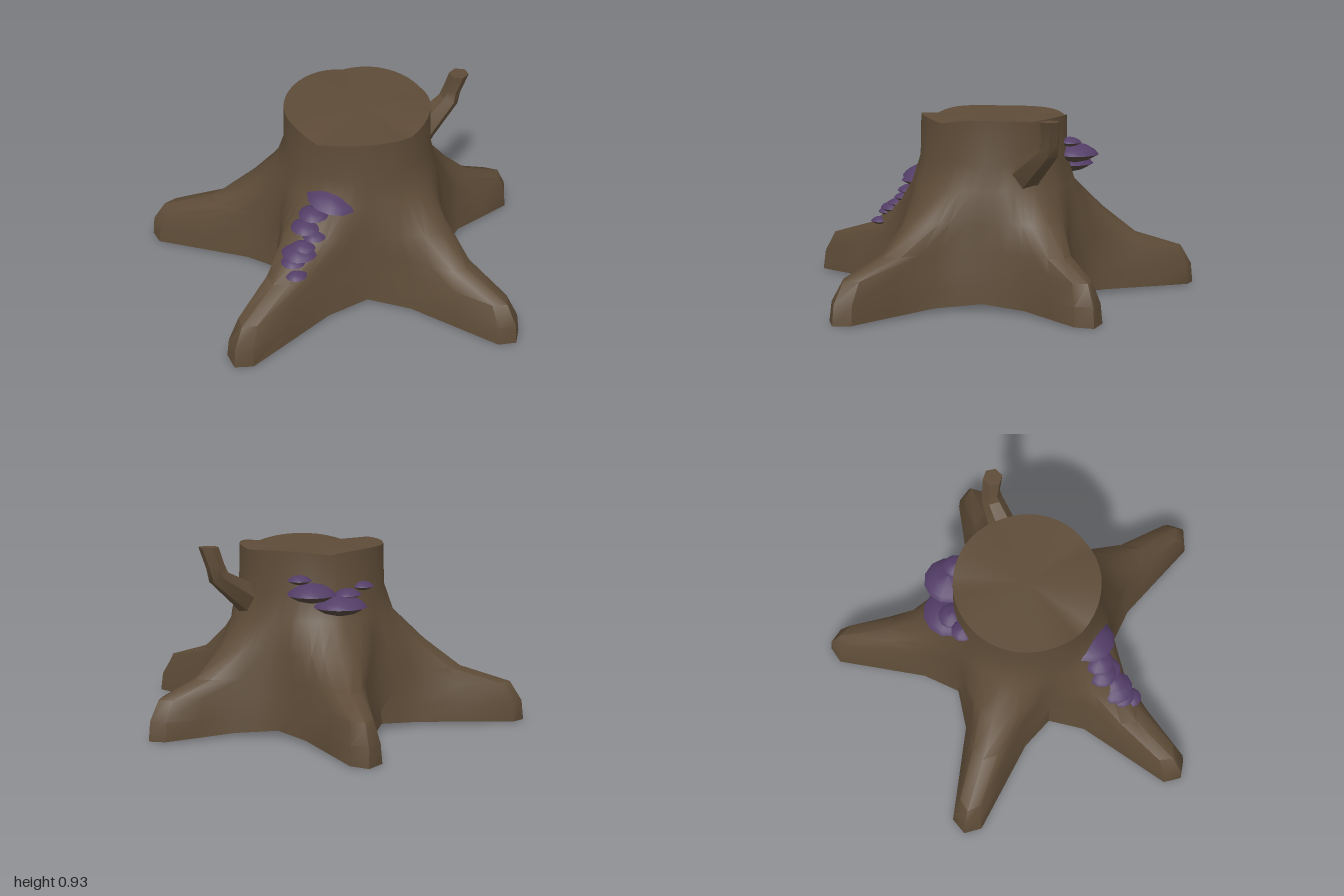
import * as THREE from 'three';
import { toCreasedNormals } from 'three/addons/utils/BufferGeometryUtils.js';

const V = (x, y, z) => new THREE.Vector3(x, y, z);
const CX = 0.11; // trunk axis

// Skin a stack of closed rings, listed from bottom to top
function loft(rings, crease) {
  const n = rings[0].length, index = [];
  for (let i = 0; i < rings.length - 1; i++) {
    for (let j = 0; j < n; j++) {
      const a = i * n + j, b = i * n + (j + 1) % n, d = a + n, c = b + n;
      index.push(a, d, b, b, d, c);
    }
  }
  const geo = new THREE.BufferGeometry().setFromPoints(rings.flat());
  geo.setIndex(index);
  return toCreasedNormals(geo, crease);
}

// Close the last ring with a fan
function fan(ring, centre) {
  const index = ring.map((_, j) => [0, 1 + (j + 1) % ring.length, 1 + j]).flat();
  const geo = new THREE.BufferGeometry().setFromPoints([centre, ...ring]);
  geo.setIndex(index);
  geo.computeVertexNormals();
  return geo;
}

// Root direction (degrees, x towards z), reach from the trunk axis, dip of the rim above,
// and fullness of its two flanks
const roots = [
  [-108.5, 1.055, 0.02, 1, 1], [-37, 0.945, 0.012, 0.85, 0.82], [36.3, 1.08, 0.025, 0.78, 1.05],
  [115.3, 1.1, 0.035, 1.08, 0.86], [180, 1.09, 0.004, 0.96, 0.96],
];

// Height, ridge reach, nose half width, valley radius, flank reach, flank half width, roundness
const levels = [
  [0.00, 1.07, 0.078, 0.455, 0.55, 0.172, 0],
  [0.10, 1.06, 0.072, 0.45, 0.54, 0.162, 0],
  [0.20, 1.00, 0.055, 0.445, 0.53, 0.145, 0],
  [0.28, 0.75, 0.065, 0.435, 0.50, 0.148, 0],
  [0.42, 0.57, 0.080, 0.41, 0.445, 0.17, 0.1],
  [0.57, 0.415, 0.09, 0.385, 0.375, 0.165, 0.7],
  [0.70, 0.37, 0.09, 0.37, 0.36, 0.18, 1],
  [0.90, 0.365, 0.09, 0.365, 0.36, 0.18, 1],
];

// Horizontal outline of trunk and roots at one level
function contour([y, reach, nose, valley, flankA, flankW, round], row) {
  const ring = [];
  roots.forEach(([deg, len, dip, fullA, fullB], i) => {
    const th = THREE.MathUtils.degToRad(deg);
    const R = 0.365 + (reach - 0.365) * (len - 0.365) / 0.705;
    const gap = (k) => {
      const d = roots[(i + k + 5) % 5][0] - deg;
      return THREE.MathUtils.degToRad(((d * k + 720) % 360) / 2);
    };
    const add = (s, k) => {
      const half = gap(s);
      const v = [valley * Math.cos(half), valley * Math.sin(half)];
      const f = [flankA, flankW * (s < 0 ? fullA : fullB)];
      const n = [R - Math.min(0.05, R * 0.07), nose];
      const mix = (p, q, t) => [p[0] + (q[0] - p[0]) * t, p[1] + (q[1] - p[1]) * t];
      const pts = [v, mix(v, f, 0.5), f, mix(f, n, 0.5), n, [R, 0]];
      const ang = half * (1 - k / 5);
      const [a, w] = mix(pts[k], [R * Math.cos(ang), R * Math.sin(ang)], round);
      let h = y;
      if (row === 0) h = 0.03 * (1 - k / 5);
      if (row === levels.length - 1) h = 0.91 - dip * (k / 5) ** 2;
      ring.push(V(CX + Math.cos(th) * a - Math.sin(th) * s * w, h,
        Math.sin(th) * a + Math.cos(th) * s * w));
    };
    for (let k = 0; k <= 5; k++) add(-1, k);
    for (let k = 4; k >= 1; k--) add(1, k);
  });
  return ring;
}

export function createModel() {
  const bark = new THREE.MeshStandardMaterial({ color: 0x5d4b37, side: THREE.DoubleSide });
  bark.name = 'bark brown';
  const purple = new THREE.MeshStandardMaterial({ color: 0x533d67, side: THREE.DoubleSide });
  purple.name = 'fungus purple';
  const gill = new THREE.MeshStandardMaterial({ color: 0x52433a, side: THREE.DoubleSide });
  gill.name = 'gill brown';

  const model = new THREE.Group();
  model.name = 'treeStump';
  const add = (parent, name, geo, mat) => {
    const mesh = new THREE.Mesh(geo, mat);
    mesh.name = name;
    parent.add(mesh);
  };

  // Hollow trunk with five spreading roots, and its cut top
  const rings = levels.map(contour);
  add(model, 'trunkAndRoots', loft(rings, 0.8), bark);
  add(model, 'cutTop', fan(rings[rings.length - 1], V(CX, 0.912, 0)), bark);

  // Broken branch: hexagonal sections along a bent path
  const branch = new THREE.Group();
  branch.name = 'branch';
  const path = [
    [V(0.385, 0.625, -0.175), V(0.5, 0.55, -0.5), 0.088],
    [V(0.43, 0.67, -0.215), V(0.5, 0.55, -0.5), 0.076],
    [V(0.545, 0.775, -0.32), V(0.4, 0.8, -0.3), 0.053],
    [V(0.56, 0.83, -0.33), V(0.3, 1, 0), 0.046],
    [V(0.592, 0.925, -0.33), V(0, 1, 0), 0.05],
  ];
  const sections = path.map(([c, dir, r]) => {
    const axis = dir.clone().normalize();
    const u = V(0, 0, 1).cross(axis).negate().normalize();
    const w = u.clone().cross(axis);
    return Array.from({ length: 6 }, (_, j) => c.clone()
      .addScaledVector(u, r * Math.cos(j * Math.PI / 3))
      .addScaledVector(w, r * Math.sin(j * Math.PI / 3)));
  });
  add(branch, 'branchStem', loft(sections, 0.6), bark);
  add(branch, 'branchEnd', fan(sections[4], path[4][0]), bark);
  model.add(branch);

  // Bracket fungi: domed cap over a shallow conical underside
  const lathe = (pts) => new THREE.LatheGeometry(pts.map((p) => new THREE.Vector2(...p)), 12);
  const capGeo = lathe([[1, 0], [0.85, 0.18], [0.5, 0.38], [0, 0.48]]);
  const underGeo = lathe([[0, -0.36], [0.6, -0.22], [1, 0]]);
  const fungi = (name, list) => {
    const cluster = new THREE.Group();
    cluster.name = name;
    list.forEach(([x, y, z, r, tilt = 0]) => {
      const f = new THREE.Group();
      f.name = 'bracketFungus';
      add(f, 'fungusCap', capGeo, purple);
      add(f, 'fungusUnderside', underGeo, gill);
      f.position.set(x, y, z);
      f.scale.setScalar(r);
      f.rotation.z = tilt;
      cluster.add(f);
    });
    model.add(cluster);
  };
  fungi('frontFungi', [
    [0.035, 0.575, 0.35, 0.132, -0.18], [-0.05, 0.535, 0.43, 0.075],
    [-0.085, 0.475, 0.46, 0.075], [-0.04, 0.445, 0.485, 0.06],
    [-0.09, 0.405, 0.525, 0.065], [-0.105, 0.378, 0.54, 0.09],
    [-0.13, 0.352, 0.585, 0.062], [-0.11, 0.305, 0.63, 0.054],
  ]);
  fungi('backFungi', [
    [0.08, 0.705, -0.405, 0.122], [-0.055, 0.64, -0.355, 0.135],
    [0.14, 0.77, -0.385, 0.06], [-0.09, 0.695, -0.33, 0.07],
    [-0.16, 0.725, -0.25, 0.058],
  ]);
  return model;
}
